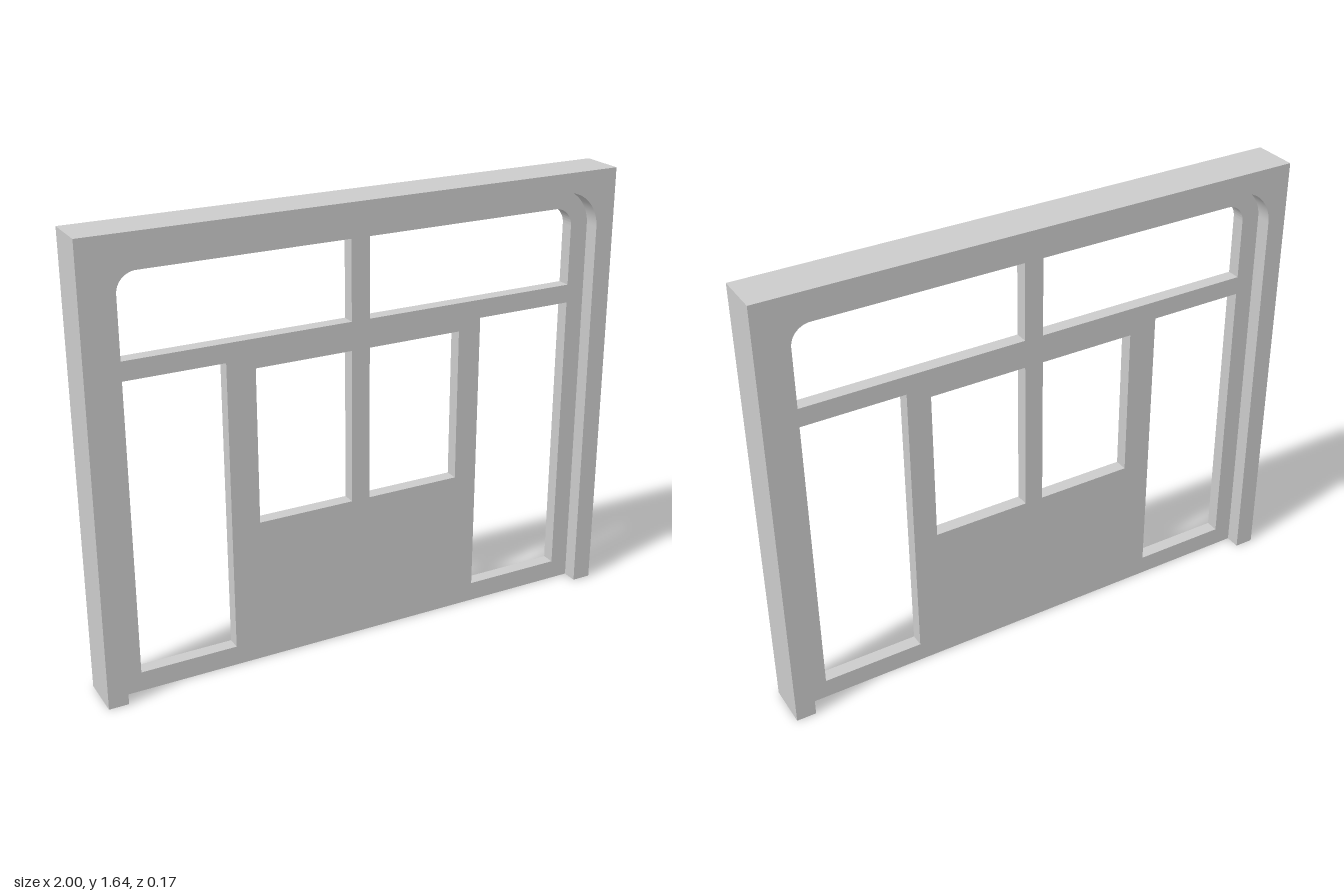
import * as THREE from 'three';
import { toCreasedNormals } from 'three/addons/utils/BufferGeometryUtils.js';

const FRAME_DEPTH = 0.165;
const PANEL_DEPTH = 0.05;

// Rectangle with optionally rounded top-left and top-right corners
function outline(path, x0, x1, y0, y1, rLeft = 0, rRight = 0) {
  path.moveTo(x0, y0);
  path.lineTo(x1, y0);
  path.lineTo(x1, y1 - rRight);
  if (rRight) path.absarc(x1 - rRight, y1 - rRight, rRight, 0, Math.PI / 2, false);
  path.lineTo(x0 + rLeft, y1);
  if (rLeft) path.absarc(x0 + rLeft, y1 - rLeft, rLeft, Math.PI / 2, Math.PI, false);
  path.lineTo(x0, y0);
  return path;
}

// Extrudes a shape symmetrically about z = 0
function slab(name, shape, depth) {
  const geometry = new THREE.ExtrudeGeometry(shape, { depth, bevelEnabled: false, curveSegments: 10 });
  geometry.translate(0, 0, -depth / 2);
  const material = new THREE.MeshStandardMaterial({ color: 0xcccccc });
  const mesh = new THREE.Mesh(toCreasedNormals(geometry, Math.PI / 6), material);
  mesh.name = name;
  return mesh;
}

export function createModel() {
  const group = new THREE.Group();
  group.name = 'windowWall';

  // Outer frame: two posts and a header around a round-cornered opening
  const w = 0.928, top = 1.575, r = 0.14;
  const frame = new THREE.Shape();
  frame.moveTo(-1, 0);
  frame.lineTo(-w, 0);
  frame.lineTo(-w, top - r);
  frame.absarc(-w + r, top - r, r, Math.PI, Math.PI / 2, true);
  frame.lineTo(w - r, top);
  frame.absarc(w - r, top - r, r, Math.PI / 2, 0, true);
  frame.lineTo(w, 0);
  frame.lineTo(1, 0);
  frame.lineTo(1, 1.645);
  frame.lineTo(-1, 1.645);
  frame.closePath();
  group.add(slab('outerFrame', frame, FRAME_DEPTH));

  // Recessed panel filling the opening, pierced by the window openings
  const panel = outline(new THREE.Shape(), -w, w, 0, top, r, r);
  const openings = [
    [-0.858, -0.5, 0.073, 1.147],             // tall side lights
    [0.483, 0.858, 0.073, 1.147],
    [-0.395, -0.035, 0.54, 1.11],             // middle windows
    [0.035, 0.395, 0.54, 1.11],
    [-0.858, -0.035, 1.215, 1.505, 0.07, 0],  // transom lights
    [0.035, 0.858, 1.215, 1.505, 0, 0.07],
  ];
  for (const o of openings) panel.holes.push(outline(new THREE.Path(), ...o));
  group.add(slab('windowPanel', panel, PANEL_DEPTH));

  return group;
}
